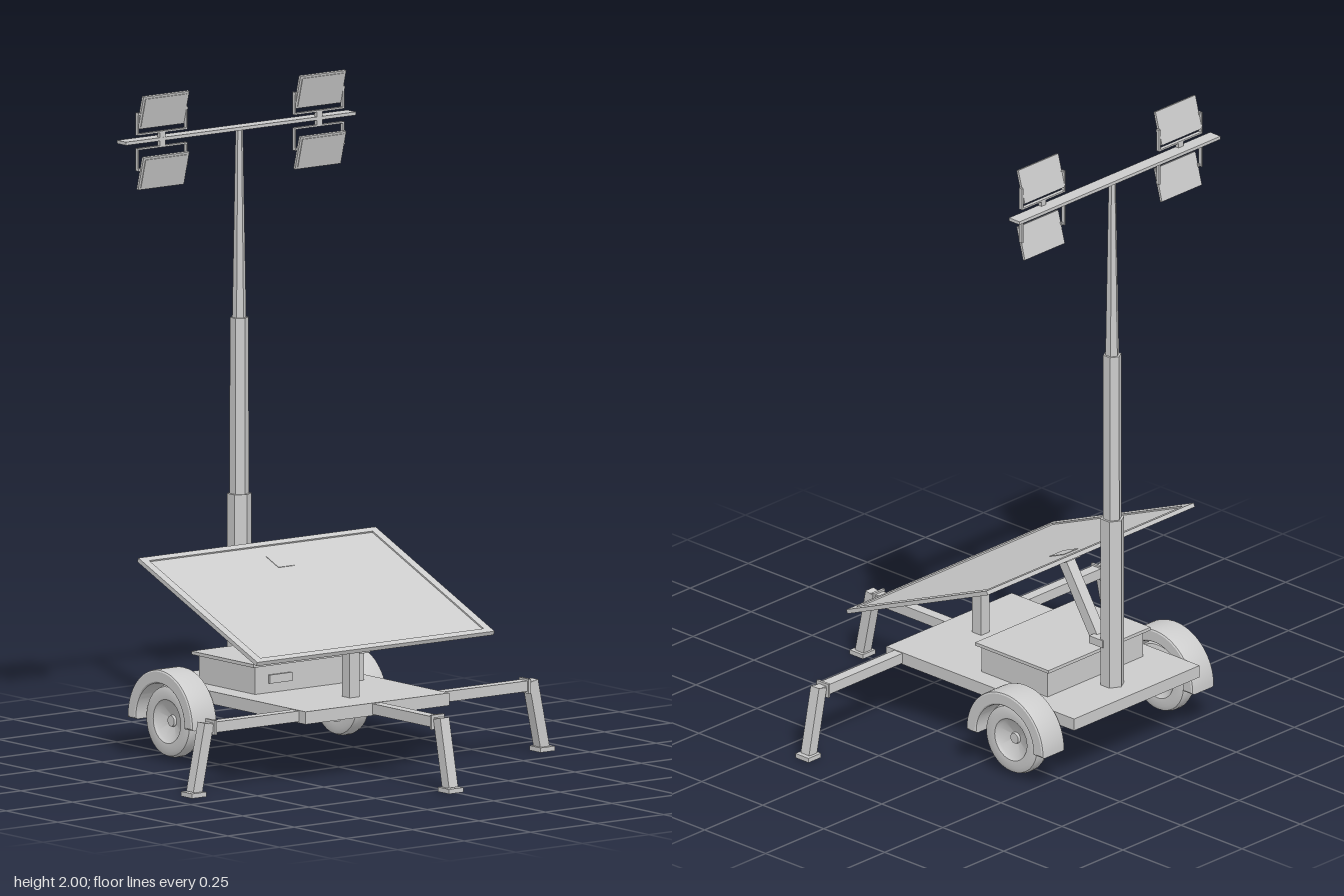
import * as THREE from 'three';
import { toCreasedNormals } from 'three/addons/utils/BufferGeometryUtils.js';

const grey = new THREE.MeshStandardMaterial({ color: 0xcccccc });
const faceted = new THREE.MeshStandardMaterial({ color: 0xcccccc, flatShading: true });

function add(parent, name, geometry, x = 0, y = 0, z = 0, material = grey) {
  const mesh = new THREE.Mesh(geometry, material);
  mesh.name = name;
  mesh.position.set(x, y, z);
  parent.add(mesh);
  return mesh;
}

function box(parent, name, w, h, d, x, y, z) {
  return add(parent, name, new THREE.BoxGeometry(w, h, d), x, y, z);
}

function group(parent, name, x = 0, y = 0, z = 0) {
  const g = new THREE.Group();
  g.name = name;
  g.position.set(x, y, z);
  parent.add(g);
  return g;
}

// Square bar between two points in the YZ plane
function bar(parent, name, width, depth, y0, z0, y1, z1) {
  const length = Math.hypot(y1 - y0, z1 - z0);
  const mesh = box(parent, name, width, length, depth, 0, (y0 + y1) / 2, (z0 + z1) / 2);
  mesh.rotation.x = Math.atan2(z1 - z0, y1 - y0);
  return mesh;
}

// Outrigger running along its own +z, starting at z = 0, with its foot near z = reach
function outrigger(parent, name, reach) {
  const g = group(parent, name);
  const end = reach - 0.065;
  box(g, 'arm', 0.034, 0.032, end, 0, 0.203, end / 2);
  box(g, 'collar', 0.048, 0.044, 0.008, 0, 0.203, end);
  box(g, 'armEnd', 0.028, 0.027, 0.036, 0, 0.203, end + 0.018);
  bar(g, 'leg', 0.034, 0.034, 0.216, reach - 0.045, 0.012, reach - 0.002);
  box(g, 'foot', 0.054, 0.014, 0.054, 0, 0.007, reach);
  return g;
}

// Half-ring mudguard and dished wheel, centred on the axle
function wheel(parent, side) {
  const g = group(parent, side > 0 ? 'leftWheel' : 'rightWheel', side * 0.315, 0.12, -0.39);
  const arc = new THREE.Shape();
  arc.absarc(0, 0, 0.152, 0, Math.PI, false);
  arc.absarc(0, 0, 0.122, Math.PI, 0, true);
  arc.closePath();
  const guard = new THREE.ExtrudeGeometry(arc, {
    depth: 0.076, curveSegments: 20, bevelThickness: 0.01, bevelSize: 0.006, bevelSegments: 2,
  });
  guard.translate(0, 0, -0.038).rotateY(Math.PI / 2);
  add(g, 'mudguard', toCreasedNormals(guard, 0.6), side * 0.007, 0, 0);

  const profile = [
    [0, 0.012], [0.016, 0.012], [0.018, 0.004], [0.058, 0.018], [0.066, 0.027], [0.09, 0.029],
    [0.104, 0.023], [0.109, 0.01], [0.109, -0.01], [0.104, -0.023], [0.09, -0.029],
    [0.066, -0.027], [0.058, -0.018], [0.018, -0.004], [0.016, -0.012], [0, -0.012],
  ].reverse().map(([r, h]) => new THREE.Vector2(r, h));
  const tyre = new THREE.LatheGeometry(profile, 32).rotateZ(Math.PI / 2);
  add(g, 'wheelAndTyre', toCreasedNormals(tyre, 0.6));
}

// Flat floodlight held by a thin U-bracket; dir is +1 above the crossbar, -1 below
function floodlight(parent, x, dir) {
  const g = group(parent, dir > 0 ? 'upperFloodlight' : 'lowerFloodlight', x, 1.86, -0.48);
  const headY = dir > 0 ? 0.088 : -0.095;
  const head = group(g, 'lampHead', 0, headY, 0.017);
  head.rotation.x = 0.26;
  box(head, 'housing', 0.172, 0.104, 0.008, 0, 0, 0);
  box(head, 'lens', 0.156, 0.09, 0.004, 0, 0, 0.004);
  for (const s of [-1, 1]) {
    box(g, 'bracketSide', 0.005, 0.068, 0.012, s * 0.091, dir * 0.054, 0.01);
    box(g, 'bracketPin', 0.01, 0.008, 0.008, s * 0.088, dir * 0.084, 0.014);
  }
  box(g, 'bracketBase', 0.187, 0.005, 0.012, 0, dir * 0.022, 0.01);
  box(g, 'bracketStub', 0.02, 0.02, 0.012, 0, dir * 0.012, 0.01);
}

export function createModel() {
  const model = new THREE.Group();
  model.name = 'solarLightTower';

  // Trailer deck, wheels and three outriggers
  box(model, 'deck', 0.54, 0.038, 0.77, -0.003, 0.202, -0.193);
  for (const side of [-1, 1]) {
    wheel(model, side);
    const arm = outrigger(model, side > 0 ? 'leftOutrigger' : 'rightOutrigger', 0.655);
    arm.rotation.y = side * Math.PI / 2;
    arm.position.z = 0.142;
  }
  outrigger(model, 'frontOutrigger', 0.548).position.x = -0.005;

  // Battery box with overhanging lid and front latch
  box(model, 'batteryBox', 0.41, 0.085, 0.27, 0, 0.263, -0.275);
  box(model, 'batteryLid', 0.44, 0.01, 0.3, -0.003, 0.31, -0.275);
  box(model, 'latch', 0.085, 0.026, 0.008, -0.112, 0.262, -0.137);

  // Six-sided telescopic mast: bottom radius, top radius, bottom, top
  [[0.037, 0.037, 0.22, 0.76], [0.029, 0.028, 0.76, 1.29], [0.021, 0.011, 1.29, 1.86]]
    .forEach(([r0, r1, y0, y1], i) => {
      add(model, 'mastSection' + (i + 1), new THREE.CylinderGeometry(r1, r0, y1 - y0, 6),
        0, (y0 + y1) / 2, -0.48, faceted);
    });

  // Crossbar and four floodlights
  box(model, 'crossbar', 0.865, 0.01, 0.043, -0.006, 1.86, -0.485);
  for (const x of [-0.3, 0.29]) for (const dir of [-1, 1]) floodlight(model, x, dir);

  // Tilted solar panel: raised frame around a recessed sheet
  const panel = group(model, 'solarPanel', -0.015, 0.503, -0.09);
  panel.rotation.x = 0.39;
  const rect = (Type, w, h) => new Type([[-w, -h], [w, -h], [w, h], [-w, h]]
    .map(([x, y]) => new THREE.Vector2(x, y)));
  const frame = rect(THREE.Shape, 0.446, 0.311);
  frame.holes.push(rect(THREE.Path, 0.42, 0.29));
  const rim = new THREE.ExtrudeGeometry(frame, { depth: 0.013, bevelEnabled: false });
  add(panel, 'panelFrame', rim.translate(0, 0, -0.0065).rotateX(-Math.PI / 2));
  box(panel, 'panelSheet', 0.842, 0.008, 0.582, 0, -0.002, 0);

  // Panel supports: front post, diagonal strut and their brackets
  const support = group(model, 'panelSupport', -0.003, 0, 0);
  box(support, 'frontPost', 0.036, 0.2, 0.038, 0, 0.32, 0.062);
  box(support, 'postBracket', 0.05, 0.024, 0.06, 0, 0.418, 0.068).rotation.x = 0.39;
  bar(support, 'strut', 0.036, 0.034, 0.345, -0.427, 0.57, -0.285);
  box(support, 'strutBracket', 0.06, 0.026, 0.066, 0, 0.572, -0.283).rotation.x = 0.39;
  box(support, 'mastBracket', 0.078, 0.024, 0.055, 0, 0.357, -0.447);
  return model;
}
